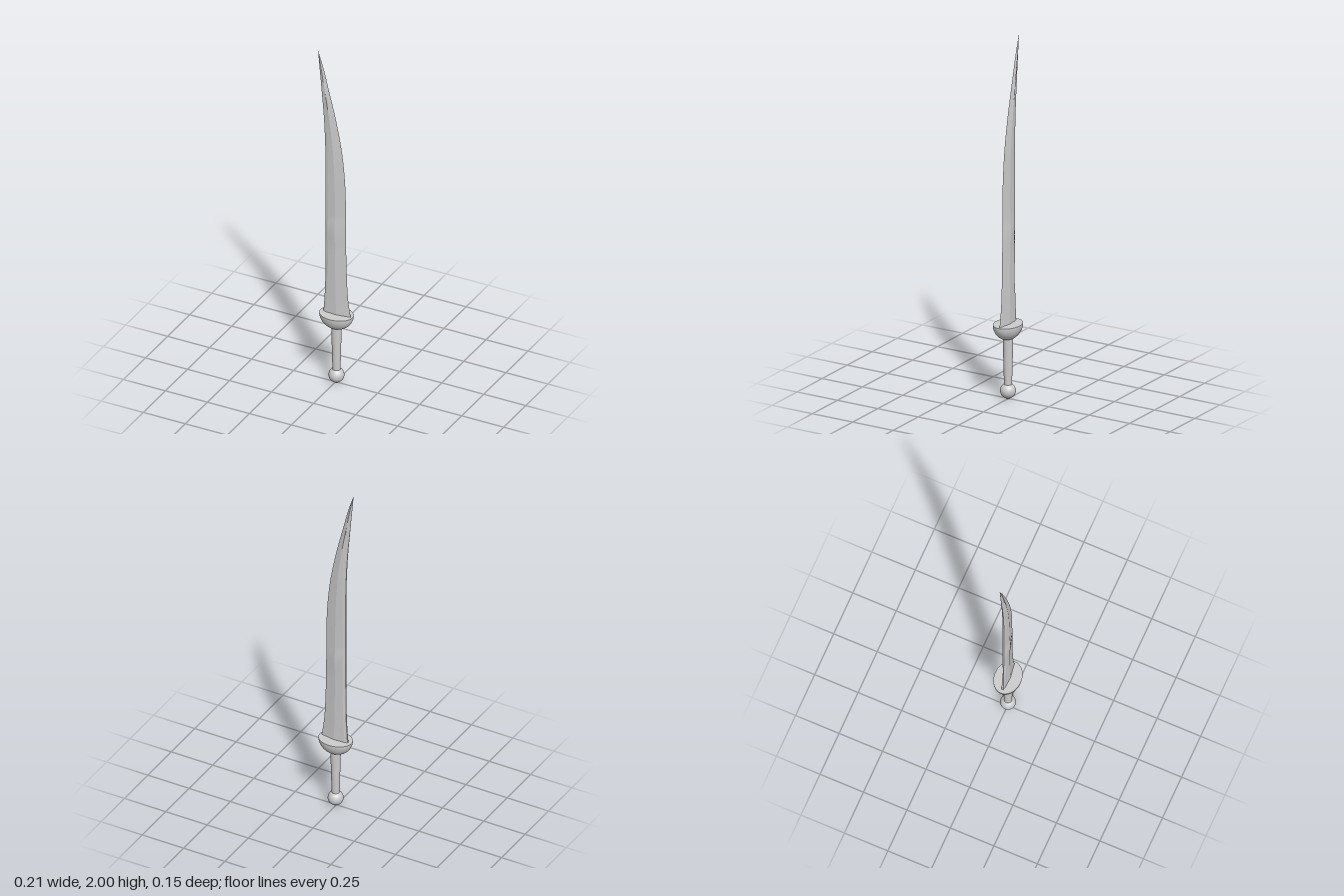
import * as THREE from 'three';

const AXIS_X = 0.005; // centre line of the hilt

function createBlade(material) {
  // stations: y, spine x, cutting edge x, ridge half thickness, back bevel width, spine half thickness
  const stations = [
    [0.40, -0.071, 0.093, 0.013, 0.016, 0.0050],
    [0.50, -0.064, 0.077, 0.012, 0.016, 0.0045],
    [0.60, -0.060, 0.069, 0.012, 0.016, 0.0040],
    [0.80, -0.058, 0.063, 0.012, 0.016, 0.0040],
    [1.00, -0.058, 0.061, 0.012, 0.016, 0.0040],
    [1.20, -0.058, 0.058, 0.011, 0.016, 0.0040],
    [1.40, -0.059, 0.040, 0.011, 0.017, 0.0035],
    [1.60, -0.068, 0.003, 0.010, 0.022, 0.0025],
    [1.78, -0.084, -0.041, 0.008, 0.022, 0.0010],
    [1.90, -0.095, -0.071, 0.006, 0.012, 0.0005],
    [2.00, -0.104, -0.103, 0.0005, 0.0003, 0.0001],
  ];
  // smooth interpolation between the stations, three columns at a time
  const spline = (cols) => new THREE.CatmullRomCurve3(
    stations.map((s) => new THREE.Vector3(s[cols[0]], s[cols[1]], s[cols[2]])));
  const outline = spline([0, 1, 2]);
  const section = spline([3, 4, 5]);

  const rows = 60;
  const rings = [];
  for (let i = 0; i <= rows; i++) {
    const { x: y, y: spine, z: edge } = outline.getPoint(i / rows);
    const { x: thick, y: bevel, z: back } = section.getPoint(i / rows);
    const ridge = THREE.MathUtils.lerp(spine, edge, 0.5);
    const side = [[ridge, thick], [spine + bevel, Math.max(thick * 0.7, back)], [spine, back]];
    rings.push([
      [edge, 0],
      ...side,
      ...side.map(([x, z]) => [x, -z]).reverse(),
    ].map(([x, z]) => [x, y, z]));
  }

  // one strip per facet: smooth along the length, sharp across the ridges
  const positions = [];
  const indices = [];
  const sides = rings[0].length;
  for (let k = 0; k < sides; k++) {
    const start = positions.length / 3;
    rings.forEach((ring) => positions.push(...ring[k], ...ring[(k + 1) % sides]));
    for (let i = 0; i < rows; i++) {
      const a = start + i * 2;
      indices.push(a + 1, a, a + 2, a + 1, a + 2, a + 3);
    }
  }
  const geometry = new THREE.BufferGeometry();
  geometry.setAttribute('position', new THREE.Float32BufferAttribute(positions, 3));
  geometry.setIndex(indices);
  geometry.computeVertexNormals();
  const blade = new THREE.Mesh(geometry, material);
  blade.name = 'blade';
  return blade;
}

export function createModel() {
  const group = new THREE.Group();
  group.name = 'sword';
  const material = new THREE.MeshStandardMaterial({ color: 0xcccccc });
  const add = (name, geometry, y, parent = group) => {
    const mesh = new THREE.Mesh(geometry, material);
    mesh.name = name;
    mesh.position.y = y;
    parent.add(mesh);
    return mesh;
  };

  group.add(createBlade(material));

  const hilt = new THREE.Group();
  hilt.name = 'hilt';
  hilt.position.x = AXIS_X;
  group.add(hilt);

  // oval bowl guard with a flat top
  const guard = new THREE.Group();
  guard.name = 'guard';
  guard.position.y = 0.42;
  guard.scale.set(0.096, 0.087, 0.073);
  hilt.add(guard);
  add('guardBowl', new THREE.SphereGeometry(1, 48, 16, 0, Math.PI * 2, Math.PI / 2, Math.PI / 2), 0, guard);
  add('guardTop', new THREE.CircleGeometry(1, 48).rotateX(-Math.PI / 2), 0, guard);

  // tapered grip
  add('grip', new THREE.CylinderGeometry(0.028, 0.021, 0.28, 32), 0.21);
  hilt.add(group.getObjectByName('grip'));

  // ball pommel with a small end button
  add('pommel', new THREE.SphereGeometry(0.042, 32, 20), 0.046, hilt);
  add('pommelButton', new THREE.CylinderGeometry(0.013, 0.009, 0.012, 24), 0.006, hilt);

  return group;
}
